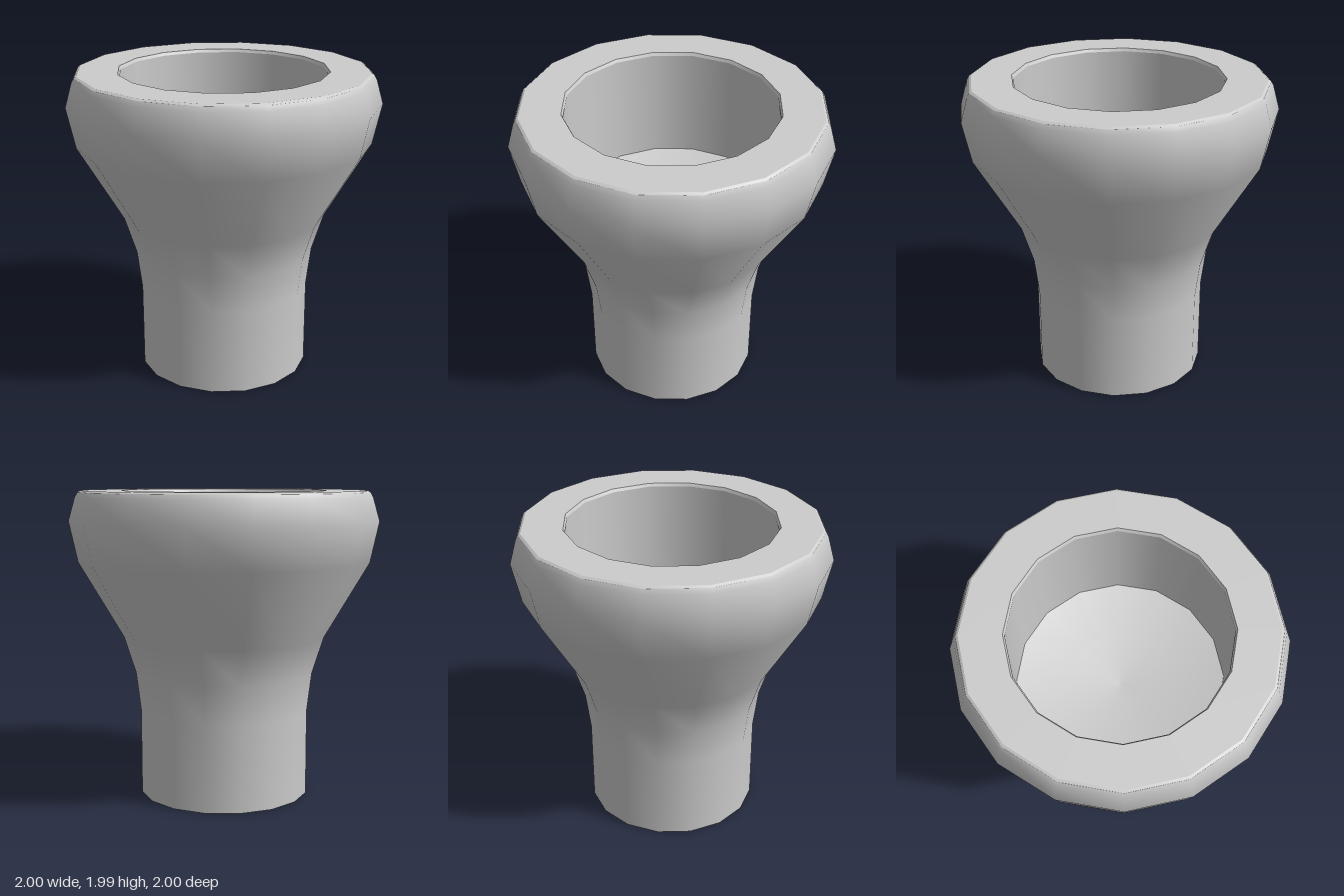
import * as THREE from 'three';

const SIDES = 16;

export function createModel() {
  const group = new THREE.Group();
  group.name = 'cup';
  const material = new THREE.MeshStandardMaterial({ color: 0xcccccc });

  // Each part is turned from its own profile, so the edges between parts stay sharp.
  const turn = (name, profile) => {
    const points = profile.map(([r, y]) => new THREE.Vector2(r, y));
    const mesh = new THREE.Mesh(new THREE.LatheGeometry(points, SIDES), material);
    mesh.name = name;
    group.add(mesh);
  };

  turn('base', [[0, 0], [0.555, 0]]);

  // Straight stem flaring into the wide head
  turn('outerWall', [
    [0.555, 0], [0.555, 0.56], [0.585, 0.81], [0.66, 1.05],
    [0.945, 1.54], [1, 1.8], [0.957, 1.95], [0.94, 1.98],
  ]);

  // Flat rim with narrow bevels on both edges
  turn('rimOuterBevel', [[0.94, 1.98], [0.925, 1.99]]);
  turn('rim', [[0.925, 1.99], [0.67, 1.99]]);
  turn('rimInnerBevel', [[0.67, 1.99], [0.66, 1.97]]);

  // Hollow with a shallow dished floor
  turn('innerWall', [[0.66, 1.97], [0.66, 1.25]]);
  turn('innerFloor', [[0.66, 1.25], [0.35, 1.17], [0, 1.14]]);

  return group;
}
